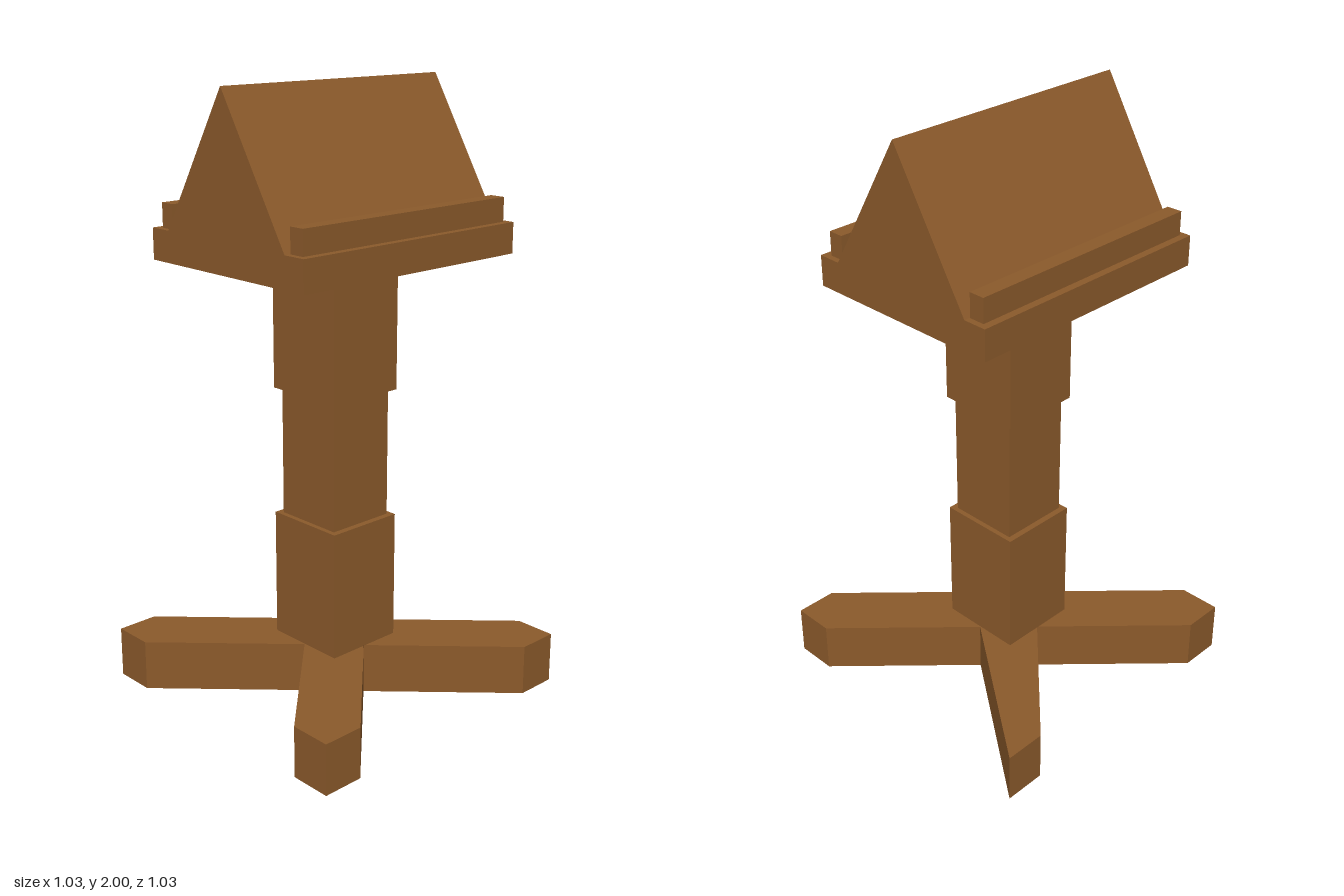
import * as THREE from 'three';

export function createModel() {
  const model = new THREE.Group();
  const wood = new THREE.MeshStandardMaterial({ color: 0x8b5a2b, flatShading: true });

  const add = (name, geometry) => {
    const mesh = new THREE.Mesh(geometry, wood);
    mesh.name = name;
    model.add(mesh);
    return mesh;
  };
  // Box given by its width, depth and bottom and top heights
  const block = (name, w, d, y0, y1, z = 0) =>
    add(name, new THREE.BoxGeometry(w, y1 - y0, d)).position.set(0, (y0 + y1) / 2, z);
  // Straight extrusion of an outline
  const prism = (points, depth) => new THREE.ExtrudeGeometry(
    new THREE.Shape(points.map(([x, y]) => new THREE.Vector2(x, y))),
    { depth, bevelEnabled: false });

  // Crossed feet: diagonal beams with square-pointed ends
  const ex = 0.517, ez = 0.513, cut = 0.139;
  const cross = prism([
    [ex, ez], [ex - cut, ez], [0, cut],
    [cut - ex, ez], [-ex, ez], [-ex, ez - cut], [-cut, 0],
    [-ex, cut - ez], [-ex, -ez], [cut - ex, -ez], [0, -cut],
    [ex - cut, -ez], [ex, -ez], [ex, cut - ez], [cut, 0],
  ], 0.17);
  cross.rotateX(-Math.PI / 2);
  add('crossedFeet', cross);

  // Post with a narrower middle
  block('lowerPost', 0.272, 0.284, 0.17, 0.6);
  block('middlePost', 0.238, 0.242, 0.6, 1.028);
  block('upperPost', 0.272, 0.284, 1.028, 1.457);

  // Table board
  block('board', 0.884, 0.692, 1.457, 1.557);

  // Sloped double desk
  const desk = prism([[-0.267, 1.557], [0.267, 1.557], [0, 2]], 0.884);
  desk.translate(0, 0, -0.442);
  desk.rotateY(Math.PI / 2);
  add('slopedDesk', desk);

  // Ledges that hold the books
  for (const [name, side] of [['frontLedge', 1], ['backLedge', -1]])
    block(name, 0.844, 0.052, 1.557, 1.635, side * 0.295);

  return model;
}
